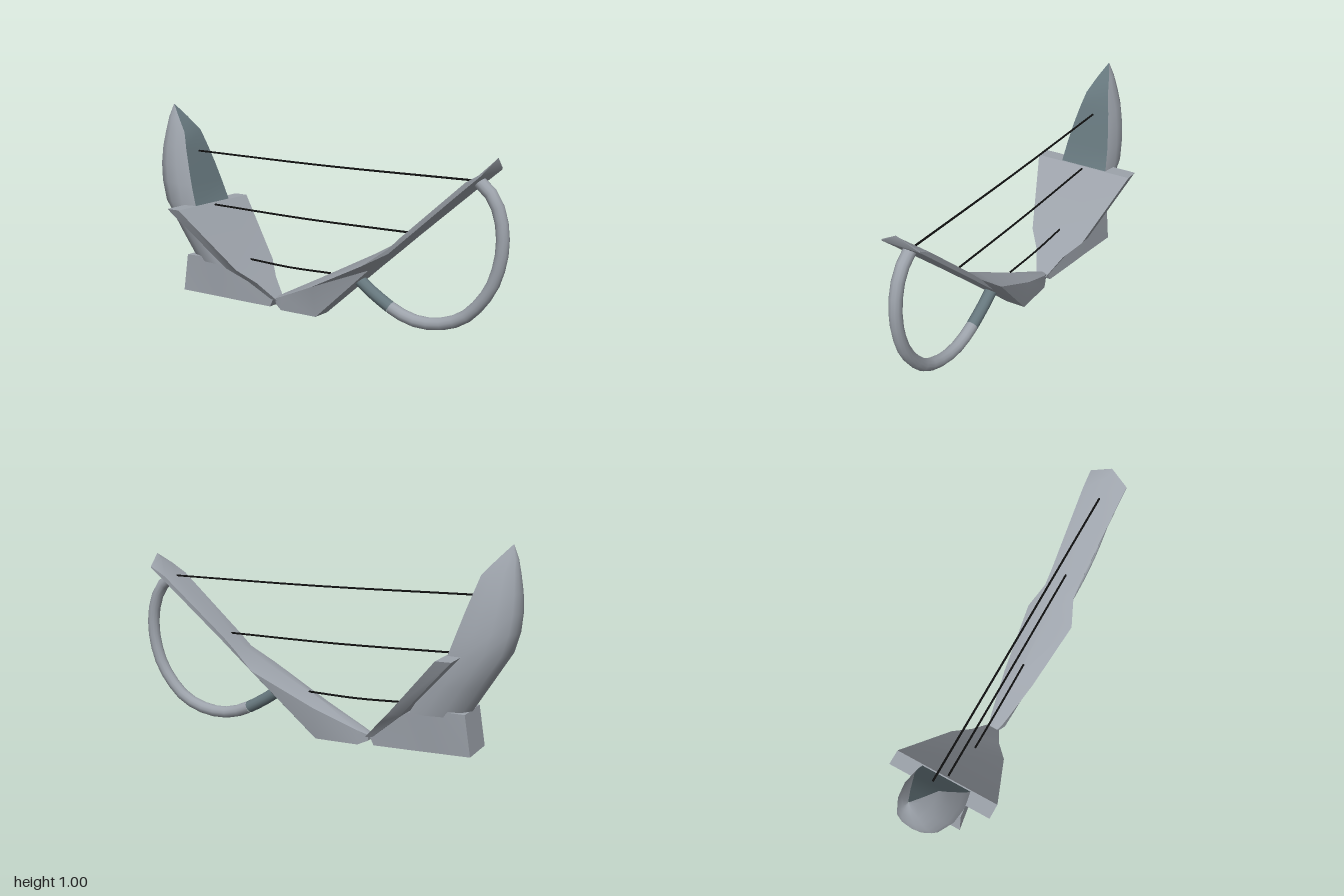
import * as THREE from 'three';
import { toCreasedNormals } from 'three/addons/utils/BufferGeometryUtils.js';

const material = (name, color) => {
  const m = new THREE.MeshStandardMaterial({ color });
  m.name = name;
  return m;
};

// Skin a list of cross-sections (arrays of [x, y, z]) into one surface
function loft(rows, closed, crease = 0.6) {
  const n = rows[0].length;
  const index = [];
  for (let r = 0; r < rows.length - 1; r++) {
    for (let c = 0; c < (closed ? n : n - 1); c++) {
      const a = r * n + c, b = r * n + (c + 1) % n;
      index.push(a, b, b + n, a, b + n, a + n);
    }
  }
  if (closed) {
    const e = (rows.length - 1) * n;
    for (let c = 1; c < n - 1; c++) index.push(0, c + 1, c, e, e + c, e + c + 1);
  }
  const g = new THREE.BufferGeometry();
  g.setAttribute('position', new THREE.Float32BufferAttribute(rows.flat(2), 3));
  g.setIndex(index);
  return toCreasedNormals(g, crease);
}

export function createModel() {
  const model = new THREE.Group();
  const grey = material('hull grey', 0x9da3ab);
  const slate = material('slate teal', 0x66777d);
  const black = material('cable black', 0x101010);
  const add = (name, geometry, mat) => {
    const mesh = new THREE.Mesh(geometry, mat);
    mesh.name = name;
    model.add(mesh);
  };

  // Front arm: z, ridge y, left edge, right edge, edge y, bottom half-width, bottom y
  const arm = [
    [0.935, 0.87, 0.004, 0.004, 0.868, 0.004, 0.866],
    [0.91, 0.845, 0.098, 0.098, 0.812, 0.098, 0.805],
    [0.83, 0.772, 0.096, 0.096, 0.765, 0.094, 0.737],
    [0.5, 0.49, 0.082, 0.08, 0.477, 0.077, 0.45],
    [0.43, 0.425, 0.082, 0.08, 0.41, 0.075, 0.388],
    [0.32, 0.362, 0.134, 0.116, 0.325, 0.072, 0.292],
    [0, 0.195, 0.085, 0.08, 0.165, 0.05, 0.005],
    [-0.22, 0.083, 0.04, 0.04, 0.07, 0.042, 0],
    [-0.268, 0.058, 0.025, 0.025, 0.05, 0.022, 0.02],
  ].map(([z, yt, l, r, ye, wb, yb]) =>
    [[-l, ye, z], [0, yt, z], [r, ye, z], [wb, yb, z], [-wb, yb, z]]);
  add('frontArm', loft(arm, true), grey);

  // Rear shield plate: y, half-width, front z, back z
  const plate = [
    [0.04, 0.028, -0.255, -0.29],
    [0.13, 0.08, -0.345, -0.4],
    [0.2, 0.15, -0.42, -0.485],
    [0.495, 0.27, -0.69, -0.765],
  ].map(([y, w, f, b]) => [[-w, y, f], [w, y, f], [w, y, b], [-w, y, b]]);
  add('rearShield', loft(plate, true), grey);

  // Wedge foot: z at top, z at bottom, top y, bottom y, top half-width, bottom half-width
  const foot = [
    [-0.275, -0.3, 0.055, 0.003, 0.028, 0.03],
    [-0.48, -0.48, 0.19, 0.012, 0.065, 0.058],
    [-0.6, -0.6, 0.225, 0.018, 0.09, 0.075],
    [-0.78, -0.81, 0.225, 0.03, 0.11, 0.11],
  ].map(([zt, zb, yt, yb, wt, wb]) =>
    [[-wt, yt, zt], [wt, yt, zt], [wb, yb, zb], [-wb, yb, zb]]);
  add('rearFoot', loft(foot, true), grey);

  // Pod: y, front z, front half-width, widest half-width, back z
  const pod = [
    [0.2, -0.5, 0.08, 0.108, -0.77],
    [0.35, -0.6, 0.11, 0.132, -0.865],
    [0.5, -0.7, 0.13, 0.145, -0.96],
    [0.6, -0.735, 0.118, 0.135, -0.99],
    [0.69, -0.765, 0.103, 0.12, -1],
    [0.78, -0.797, 0.084, 0.098, -0.997],
    [0.86, -0.825, 0.063, 0.069, -0.987],
    [0.93, -0.888, 0.034, 0.036, -0.975],
    [0.995, -0.95, 0.001, 0.001, -0.952],
  ];
  const shell = pod.map(([y, f, wf, w, b]) => {
    const half = [[wf, 0], [w, 0.3], [w * 0.93, 0.62], [w * 0.65, 0.9], [w * 0.33, 0.98]]
      .map(([x, t]) => [x, y, f + (b - f) * t]);
    const mirror = half.map(([x, yy, z]) => [-x, yy, z]).reverse();
    return [...half, [0, y, b], ...mirror];
  });
  add('podShell', loft(shell, false, 0.9), grey);
  const face = pod.map(([y, f, wf]) => [[-wf, y, f], [wf, y, f]]);
  add('podFrontFace', loft(face, false), slate);

  // Curved handle beneath the front arm
  const tube = (points, segments, radius, sides) => new THREE.TubeGeometry(
    new THREE.CatmullRomCurve3(points.map(([z, y]) => new THREE.Vector3(0, y, z))),
    segments, radius, sides);
  add('handle', tube([[0.85, 0.755], [0.92, 0.69], [0.96, 0.59], [0.97, 0.49], [0.955, 0.38],
    [0.91, 0.265], [0.8, 0.135], [0.7, 0.085], [0.6, 0.066], [0.5, 0.073], [0.4, 0.11]],
  16, 0.03, 12), grey);
  add('handleEnd', tube([[0.4, 0.11], [0.31, 0.16], [0.2, 0.235]], 4, 0.03, 12), slate);

  // Three slightly sagging cables between the arms
  for (const [y, front, back] of [[0.76, 0.82, -0.785], [0.485, 0.505, -0.68], [0.225, 0.06, -0.45]]) {
    add('cable', tube([[front, y], [(front + back) / 2, y - 0.007], [back, y]], 8, 0.005, 6), black);
  }
  return model;
}
